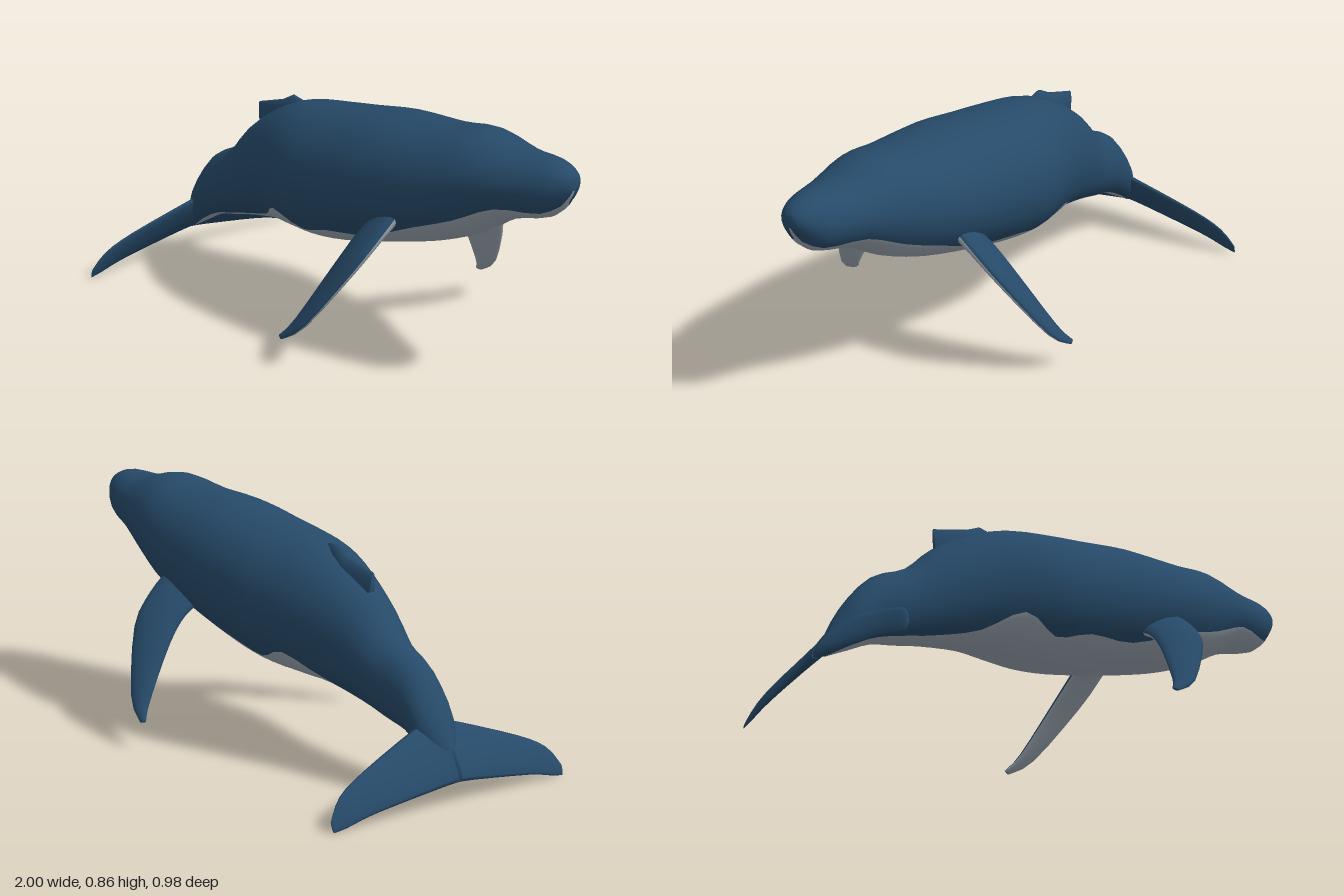
import * as THREE from 'three';

const blue = new THREE.MeshStandardMaterial({ name: 'deep blue skin', color: 0x264a69 });
const pale = new THREE.MeshStandardMaterial({ name: 'pale grey underside', color: 0x9ba7b2 });

// Fill in smooth in-between stations, column by column
function smooth(rows, steps) {
  const curves = rows[0].map((_, c) => new THREE.SplineCurve(rows.map((r, i) => new THREE.Vector2(i, r[c]))));
  const count = (rows.length - 1) * steps;
  return Array.from({ length: count + 1 }, (_, i) => curves.map((curve) => curve.getPoint(i / count).y));
}

// Skin a list of equal-sized closed rings; segments where isPale(j) use the second material
function loft(name, rings, isPale = () => false, flip = false) {
  const n = rings[0].length;
  const positions = [];
  const parts = [[], []];
  const tri = (m, a, b, c) => parts[m].push(...(flip ? [a, c, b] : [a, b, c]));
  rings.flat().forEach((p) => positions.push(p.x, p.y, p.z));
  for (let i = 0; i < rings.length - 1; i++) {
    for (let j = 0; j < n; j++) {
      const a = i * n + j, b = i * n + ((j + 1) % n);
      const m = isPale(j) ? 1 : 0;
      tri(m, a, b, a + n);
      tri(m, b, b + n, a + n);
    }
  }
  // end caps
  [0, rings.length - 1].forEach((r) => {
    const mid = new THREE.Vector3();
    rings[r].forEach((p) => mid.addScaledVector(p, 1 / n));
    const centre = positions.length / 3;
    positions.push(mid.x, mid.y, mid.z);
    for (let j = 0; j < n; j++) {
      const a = r * n + j, b = r * n + ((j + 1) % n);
      if (r === 0) tri(0, centre, b, a);
      else tri(0, centre, a, b);
    }
  });
  const geo = new THREE.BufferGeometry();
  geo.setAttribute('position', new THREE.Float32BufferAttribute(positions, 3));
  geo.setIndex(parts.flat());
  geo.addGroup(0, parts[0].length, 0);
  geo.addGroup(parts[0].length, parts[1].length, 1);
  geo.computeVertexNormals();
  const mesh = new THREE.Mesh(geo, [blue, pale]);
  mesh.name = name;
  return mesh;
}

// Upright oval between a top and a bottom point; its first PALE segments lie below height edge
const PALE = 20, DARK = 28;
function oval([xt, yt, xb, yb, w, edge = yb]) {
  const u = THREE.MathUtils.clamp((edge - yb) / (yt - yb), 0.01, 0.95);
  const t0 = Math.acos(1 - 2 * u);
  return Array.from({ length: PALE + DARK }, (_, j) => {
    const t = j < PALE ? t0 * ((2 * j) / PALE - 1) : t0 + (2 * (Math.PI - t0) * (j - PALE)) / DARK;
    const h = (1 - Math.cos(t)) / 2;
    return new THREE.Vector3(xb + (xt - xb) * h, yb + (yt - yb) * h, w * Math.sin(t));
  });
}

// Fin with lens-shaped sections: leading point, trailing point, thickness
function fin(name, stations, side, paleBelow) {
  const N = 16;
  const pts = smooth(stations, 3).map((s) => ({
    lead: new THREE.Vector3(s[0], s[1], s[2]),
    trail: new THREE.Vector3(s[3], s[4], s[5]),
    thick: s[6],
  }));
  const span = pts[pts.length - 1].lead.clone().sub(pts[0].lead);
  const rings = pts.map(({ lead, trail, thick }) => {
    const chord = lead.clone().sub(trail);
    const up = span.clone().cross(chord).normalize();
    const mid = lead.clone().add(trail).multiplyScalar(0.5);
    return Array.from({ length: N }, (_, j) => {
      const a = (j / N) * Math.PI * 2;
      const p = mid.clone()
        .addScaledVector(chord, Math.cos(a) / 2)
        .addScaledVector(up, (Math.sin(a) * thick) / 2);
      p.z *= side;
      return p;
    });
  });
  return loft(name, rings, (j) => paleBelow && j >= N / 2, side < 0);
}

export function createModel() {
  const whale = new THREE.Group();
  whale.name = 'whale';

  // Nose to tail: top x, top y, bottom x, bottom y, half width, height of colour edge
  const body = [
    [0.995, 0.785, 0.995, 0.745, 0.02, 0.74],
    [0.97, 0.812, 0.975, 0.71, 0.055, 0.705],
    [0.9, 0.832, 0.91, 0.637, 0.097, 0.66],
    [0.76, 0.832, 0.76, 0.592, 0.143, 0.65],
    [0.6, 0.862, 0.6, 0.497, 0.185, 0.575],
    [0.43, 0.84, 0.43, 0.427, 0.225, 0.51],
    [0.2, 0.83, 0.2, 0.36, 0.243, 0.415],
    [0, 0.8, 0, 0.31, 0.245, 0.385],
    [-0.14, 0.78, -0.14, 0.29, 0.24, 0.345],
    [-0.28, 0.758, -0.28, 0.284, 0.207, 0.39],
    [-0.41, 0.708, -0.41, 0.278, 0.166, 0.315],
    [-0.56, 0.61, -0.57, 0.248, 0.124, 0.265],
    [-0.67, 0.5, -0.68, 0.22, 0.1, 0.235],
    [-0.8, 0.43, -0.78, 0.195, 0.085, 0.205],
    [-0.9, 0.3, -0.865, 0.15, 0.075, 0.158],
    [-0.975, 0.145, -0.955, 0.1, 0.02, 0.1],
  ];
  whale.add(loft('body', smooth(body, 3).map(oval), (j) => j < PALE));

  // Low hooked fin on the back
  const dorsal = [
    [-0.31, 0.75, -0.33, 0.62, 0.015],
    [-0.365, 0.758, -0.38, 0.6, 0.035],
    [-0.42, 0.73, -0.43, 0.56, 0.045],
    [-0.553, 0.692, -0.52, 0.5, 0.014],
  ];
  whale.add(loft('dorsalFin', dorsal.map((s) => oval(s))));

  const flipper = [
    [0.39, 0.55, 0.19, 0.22, 0.47, 0.14, 0.07],
    [0.385, 0.485, 0.265, 0.22, 0.43, 0.22, 0.06],
    [0.352, 0.38, 0.355, 0.2, 0.34, 0.305, 0.05],
    [0.22, 0.17, 0.459, 0.143, 0.165, 0.43, 0.032],
    [0.125, 0.1, 0.484, 0.104, 0.107, 0.474, 0.01],
  ];
  const fluke = [
    [-0.86, 0.265, 0, -1.0, 0.085, 0, 0.055],
    [-0.867, 0.245, 0.08, -0.994, 0.076, 0.08, 0.042],
    [-0.914, 0.16, 0.33, -0.98, 0.04, 0.33, 0.024],
    [-0.936, 0.105, 0.44, -0.975, 0.014, 0.44, 0.017],
    [-0.958, 0.04, 0.491, -0.97, 0.006, 0.488, 0.006],
  ];
  // Paired fins, mirrored across the body's midline
  for (const side of [1, -1]) {
    const end = side > 0 ? 'front' : 'back';
    whale.add(fin(end + 'Flipper', flipper, side, true));
    whale.add(fin(end + 'TailFluke', fluke, side, false));
  }
  return whale;
}
